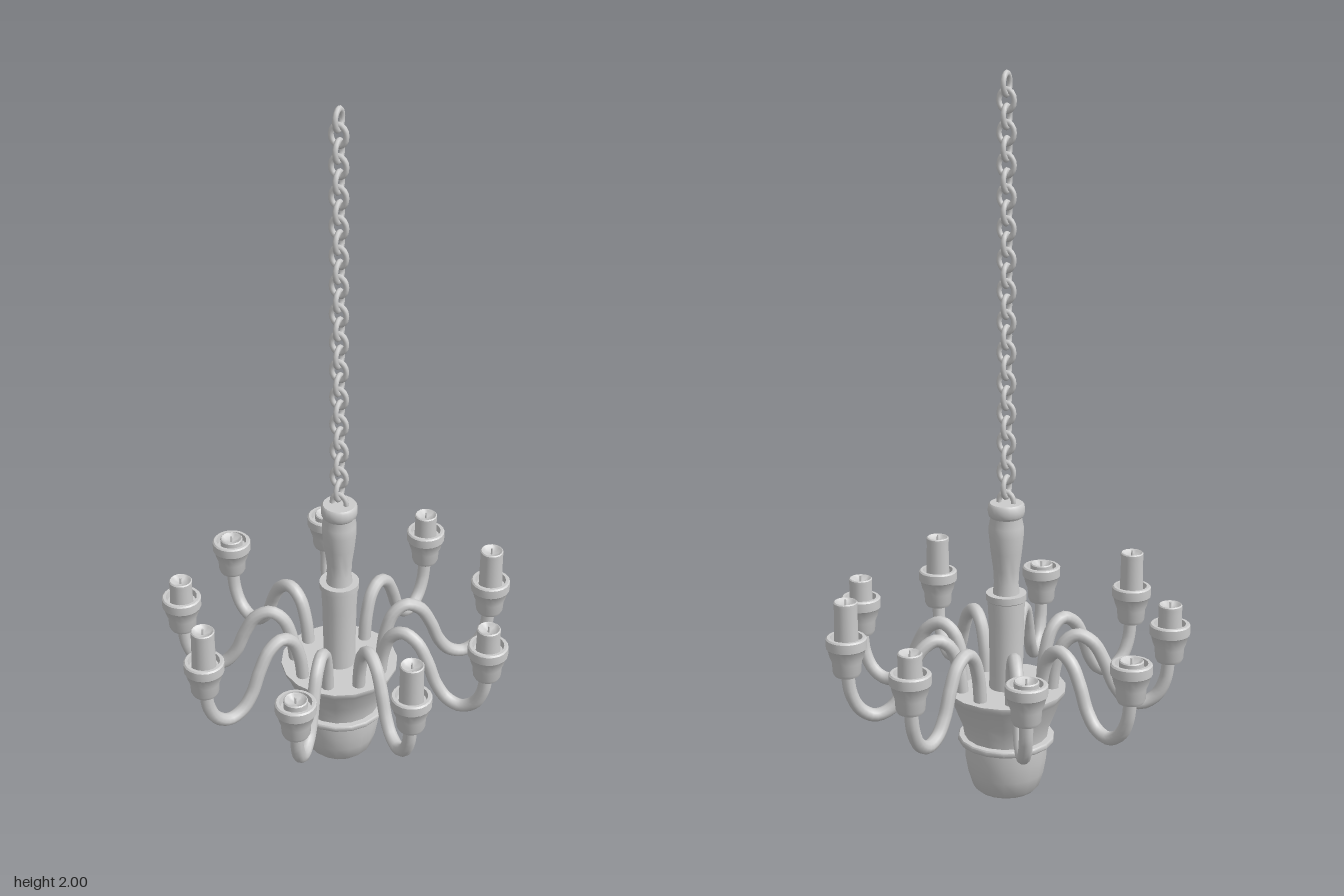
import * as THREE from 'three';
import { toCreasedNormals } from 'three/addons/utils/BufferGeometryUtils.js';

const material = new THREE.MeshStandardMaterial({ color: 0xcccccc });

function mesh(name, geometry) {
  const m = new THREE.Mesh(geometry, material);
  m.name = name;
  return m;
}

// Turned part from [radius, height] pairs, listed from the bottom up
function turned(name, profile, sides) {
  const points = profile.map(([r, y]) => new THREE.Vector2(r, y));
  return mesh(name, toCreasedNormals(new THREE.LatheGeometry(points, sides), 0.7));
}

// S-shaped arm running outwards along +x
function makeArm() {
  const path = [
    [0.125, 0.28], [0.138, 0.38], [0.162, 0.44], [0.198, 0.462], [0.24, 0.44],
    [0.272, 0.385], [0.298, 0.32], [0.332, 0.277], [0.375, 0.264],
    [0.415, 0.287], [0.44, 0.335], [0.45, 0.41],
  ].map(([x, y]) => new THREE.Vector3(x, y, 0));
  return mesh('arm', new THREE.TubeGeometry(new THREE.CatmullRomCurve3(path), 44, 0.0185, 10));
}

function makeCup() {
  return turned('candleCup', [
    [0, 0.392], [0.034, 0.392], [0.039, 0.402], [0.041, 0.432], [0.047, 0.447],
    [0.052, 0.468], [0.056, 0.472], [0.056, 0.498], [0.052, 0.502],
    [0.044, 0.502], [0.041, 0.484], [0, 0.482],
  ], 20);
}

// Candle with a dished top and a short wick
function makeCandle(top) {
  const group = new THREE.Group();
  group.name = 'candle';
  group.add(turned('wax', [
    [0.034, 0.475], [0.032, top - 0.025], [0.033, top - 0.01], [0.033, top - 0.003],
    [0.03, top], [0.026, top - 0.003], [0.02, top - 0.009], [0, top - 0.013],
  ], 16));
  const wick = mesh('wick', new THREE.CylinderGeometry(0.0025, 0.0035, 0.02, 6));
  wick.position.y = top - 0.004;
  group.add(wick);
  group.position.x = 0.45;
  return group;
}

export function createModel() {
  const model = new THREE.Group();
  model.name = 'chandelier';
  model.position.x = -0.016;

  // Flared bowl with a raised band and flat top
  model.add(turned('bowl', [
    [0, 0], [0.082, 0], [0.094, 0.012], [0.107, 0.055], [0.115, 0.1], [0.116, 0.144],
    [0.132, 0.145], [0.135, 0.149], [0.135, 0.159], [0.132, 0.163], [0.117, 0.164],
    [0.121, 0.19], [0.135, 0.225], [0.154, 0.275], [0.16, 0.285],
    [0.167, 0.298], [0.167, 0.305], [0, 0.305],
  ], 18));

  // Tapered sleeve and baluster
  model.add(turned('sleeve', [
    [0.048, 0.3], [0.046, 0.36], [0.049, 0.5], [0.052, 0.56],
    [0.056, 0.563], [0.056, 0.582], [0, 0.582],
  ], 20));
  model.add(turned('baluster', [
    [0.038, 0.575], [0.034, 0.61], [0.036, 0.65], [0.043, 0.7], [0.048, 0.75],
    [0.048, 0.775], [0.043, 0.8], [0.049, 0.807], [0.051, 0.818], [0.05, 0.835],
    [0.045, 0.841], [0, 0.841],
  ], 20));

  // Chain of links turned alternately by a quarter
  const chain = new THREE.Group();
  chain.name = 'chain';
  const linkGeometry = new THREE.TorusGeometry(0.0215, 0.0075, 8, 16).scale(1, 1.24, 1);
  for (let i = 0; i < 28; i++) {
    const link = mesh('chainLink', linkGeometry);
    link.position.y = 1.964 - i * 0.0415;
    link.rotation.y = i % 2 ? 0 : Math.PI / 2;
    chain.add(link);
  }
  model.add(chain);

  // Nine arms with candles burnt to different heights
  const heights = [0.558, 0.604, 0.558, 0.51, 0.51, 0.558, 0.604, 0.51, 0.604];
  heights.forEach((top, i) => {
    const branch = new THREE.Group();
    branch.name = 'branch';
    const cup = makeCup();
    cup.position.x = 0.45;
    branch.add(makeArm(), cup, makeCandle(top));
    branch.rotation.y = (i * Math.PI * 2) / heights.length;
    model.add(branch);
  });

  const root = new THREE.Group();
  root.add(model);
  return root;
}
